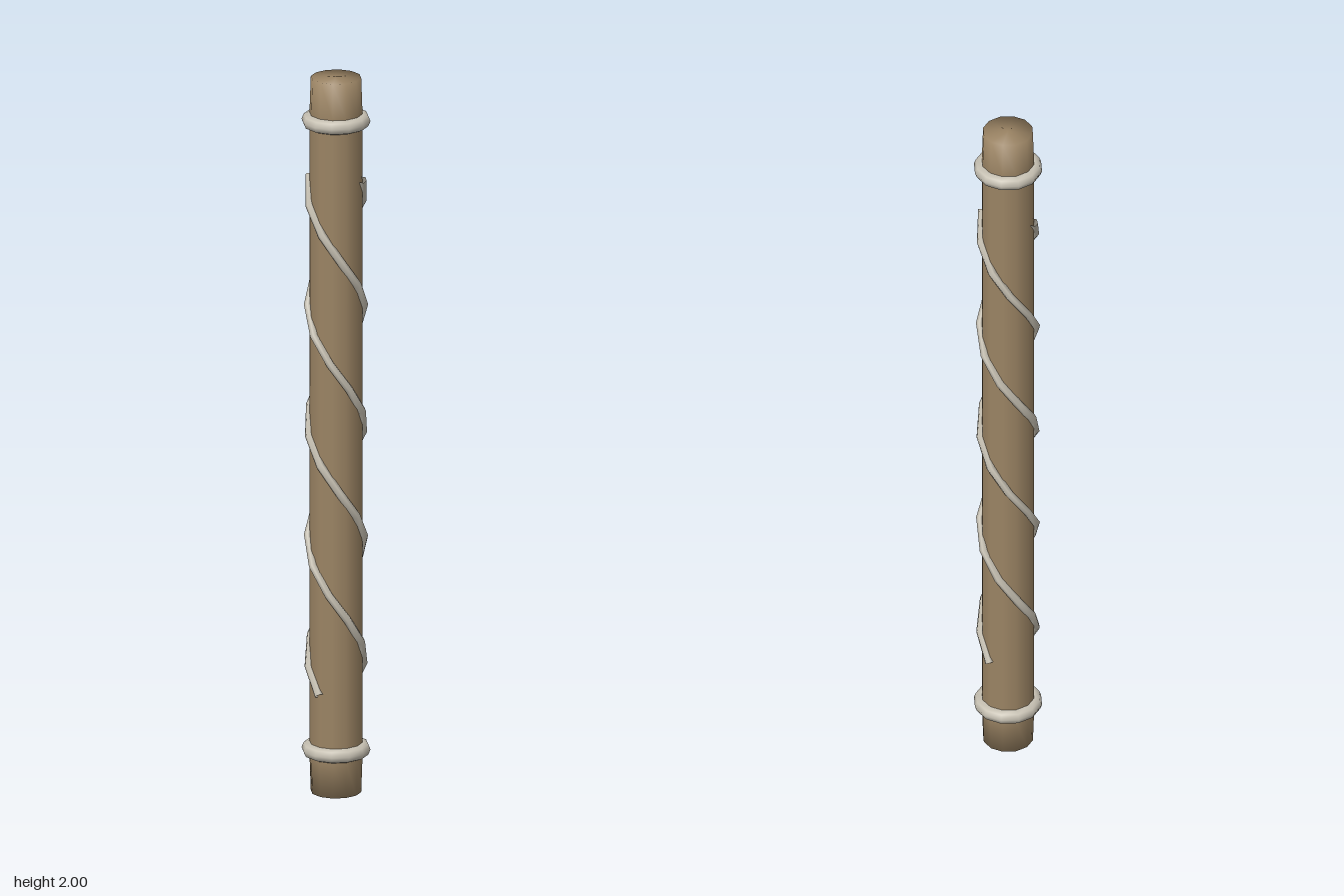
import * as THREE from 'three';

export function createModel() {
  const group = new THREE.Group();
  group.name = 'wrappedStaff';

  const wood = new THREE.MeshStandardMaterial({ color: 0x9b8464 });
  wood.name = 'wood';
  const cord = new THREE.MeshStandardMaterial({ color: 0xc8c2b4, side: THREE.DoubleSide });
  cord.name = 'paleCord';

  const add = (name, geometry, material) => {
    const mesh = new THREE.Mesh(geometry, material);
    mesh.name = name;
    group.add(mesh);
    return mesh;
  };

  // Twelve-sided shaft, slightly tapered at both ends
  const profile = [[0, 0], [0.068, 0], [0.0715, 0.1], [0.0715, 1.9], [0.068, 2], [0, 2]]
    .map(([r, y]) => new THREE.Vector2(r, y));
  add('shaft', new THREE.LatheGeometry(profile, 12), wood);

  // Rounded collars near the ends
  for (const [name, y] of [['lowerRing', 0.12], ['upperRing', 1.88]]) {
    const ring = add(name, new THREE.TorusGeometry(0.073, 0.02, 8, 12), cord);
    ring.rotation.x = Math.PI / 2;
    ring.position.y = y;
  }

  // Two opposite cords winding 2.2 turns up the shaft
  const steps = 20, turns = 2.2, bottom = 0.285, top = 1.72;
  for (const [name, start] of [['cordA', 0], ['cordB', Math.PI]]) {
    const points = [];
    for (let i = 0; i <= steps; i++) {
      const t = i / steps;
      const a = start + t * turns * Math.PI * 2;
      points.push(new THREE.Vector3(Math.cos(a) * 0.075, bottom + t * (top - bottom), Math.sin(a) * 0.075));
    }
    add(name, new THREE.TubeGeometry(new THREE.CatmullRomCurve3(points), steps, 0.0115, 6), cord);
  }

  return group;
}
